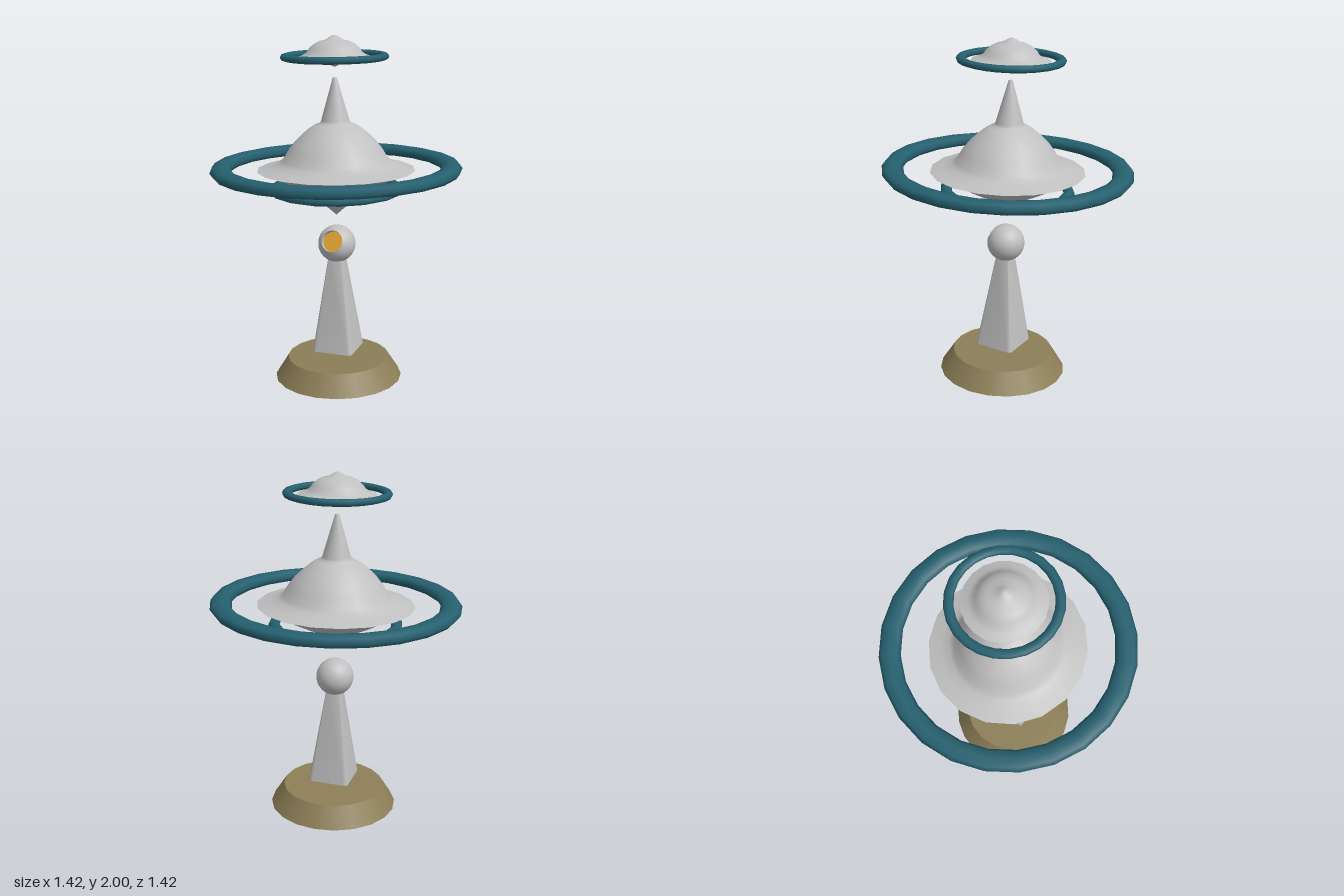
import * as THREE from 'three';
import { toCreasedNormals } from 'three/addons/utils/BufferGeometryUtils.js';

const material = (name, color, side = THREE.FrontSide) => {
  const m = new THREE.MeshStandardMaterial({ color, side });
  m.name = name;
  return m;
};

export function createModel() {
  const grey = material('paleGrey', 0xc0c0c0, THREE.DoubleSide);
  const teal = material('deepTeal', 0x25606f);
  const bronze = material('bronze', 0x8c7e57);
  const amber = material('amber', 0xe2a531);

  const model = new THREE.Group();
  model.name = 'floatingSaucerTower';

  const add = (name, geometry, mat, y = 0, parent = model) => {
    const mesh = new THREE.Mesh(geometry, mat);
    mesh.name = name;
    mesh.position.y = y;
    parent.add(mesh);
    return mesh;
  };
  // Profiles are [radius, height] pairs listed from bottom to top
  const lathe = (points, segments) =>
    new THREE.LatheGeometry(points.map(([r, y]) => new THREE.Vector2(r, y)), segments);

  // Flattened, low-sided floating hoop
  const hoop = (name, outer, inner, halfHeight, y, segments) => {
    const tube = (outer - inner) / 2;
    const g = new THREE.TorusGeometry((outer + inner) / 2, tube, 8, segments);
    g.rotateX(Math.PI / 2);
    g.scale(1, halfHeight / tube, 1);
    add(name, g, teal, y);
  };

  // Pedestal disc
  add('base', new THREE.CylinderGeometry(0.295, 0.37, 0.118, 20), bronze, 0.071);

  // Tapered square pillar with rounded corners
  const h = 0.12, c = 0.025, height = 0.55;
  const square = new THREE.Shape();
  square.moveTo(-h + c, -h);
  square.lineTo(h - c, -h).quadraticCurveTo(h, -h, h, -h + c);
  square.lineTo(h, h - c).quadraticCurveTo(h, h, h - c, h);
  square.lineTo(-h + c, h).quadraticCurveTo(-h, h, -h, h - c);
  square.lineTo(-h, -h + c).quadraticCurveTo(-h, -h, -h + c, -h);
  const pillar = new THREE.ExtrudeGeometry(square, { depth: height, bevelEnabled: false, curveSegments: 4 });
  pillar.rotateX(-Math.PI / 2);
  const p = pillar.attributes.position;
  for (let i = 0; i < p.count; i++) {
    const s = 1 - 0.65 * (p.getY(i) / height);
    p.setX(i, p.getX(i) * s);
    p.setZ(i, p.getZ(i) * s);
  }
  add('pillar', toCreasedNormals(pillar, 0.7), grey, 0.18);

  // Ball with a recessed eye looking forward and upward
  const eye = new THREE.Group();
  eye.name = 'eyeBall';
  eye.position.y = 0.815;
  eye.rotation.x = 1.19;
  model.add(eye);
  const R = 0.108, cut = 0.61;
  const arc = [];
  for (let i = 0; i <= 20; i++) {
    const a = Math.PI - (Math.PI - cut) * (i / 20);
    arc.push([R * Math.sin(a), R * Math.cos(a)]);
  }
  const holeR = R * Math.sin(cut), holeY = R * Math.cos(cut);
  add('ball', lathe(arc, 28), grey, 0, eye);
  add('socketWall', lathe([[holeR, holeY], [holeR - 0.003, holeY - 0.028]], 28), grey, 0, eye);
  const iris = new THREE.CircleGeometry(holeR - 0.002, 28).rotateX(-Math.PI / 2);
  add('iris', iris, amber, holeY - 0.025, eye);

  // Main saucer: spire and dome above, cone below
  const saucerTop = lathe([
    [0.45, 1.25], [0.38, 1.268], [0.33, 1.285], [0.3, 1.31], [0.27, 1.36], [0.235, 1.405],
    [0.195, 1.445], [0.15, 1.483], [0.115, 1.505], [0.088, 1.515], [0.08, 1.53], [0.012, 1.765], [0, 1.77],
  ], 18);
  const saucerUnder = lathe([
    [0, 0.985], [0.07, 1.047], [0.14, 1.107], [0.2, 1.135], [0.27, 1.17], [0.33, 1.21], [0.45, 1.25],
  ], 18);
  for (const g of [saucerTop, saucerUnder]) g.scale(1, 1, 0.97);
  add('saucerDome', saucerTop, grey);
  add('saucerUnderside', saucerUnder, grey);
  hoop('mainRing', 0.712, 0.59, 0.036, 1.258, 24);
  hoop('lowerRing', 0.383, 0.32, 0.023, 1.138, 16);

  // Small saucer hovering at the top
  add('topSaucerDome', lathe([
    [0.22, 1.877], [0.18, 1.89], [0.155, 1.905], [0.14, 1.928], [0.115, 1.95], [0.085, 1.966],
    [0.052, 1.973], [0.03, 1.987], [0.012, 1.997], [0, 2],
  ], 20), grey);
  add('topSaucerUnderside', lathe([
    [0, 1.825], [0.04, 1.845], [0.085, 1.857], [0.15, 1.868], [0.22, 1.877],
  ], 20), grey);
  hoop('topRing', 0.302, 0.25, 0.02, 1.882, 24);

  // Slight lean of the whole stack
  model.rotation.set(-0.021, 0, 0.021);
  model.position.set(0.023, 0, 0.023);
  const root = new THREE.Group();
  root.name = 'saucerTower';
  root.add(model);
  return root;
}
